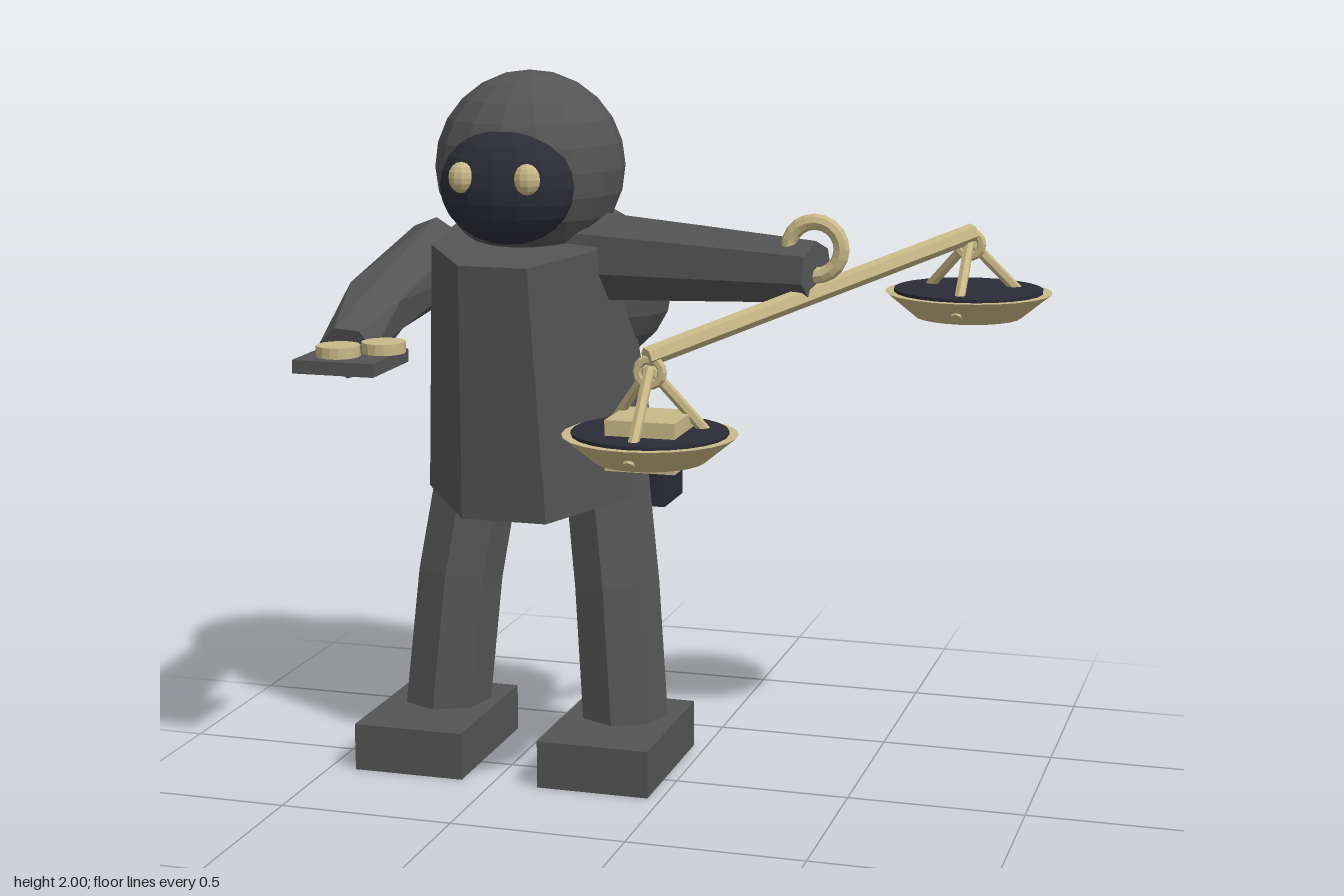
import * as THREE from 'three';

const mat = (name, color) => {
  const m = new THREE.MeshStandardMaterial({ color, flatShading: true });
  m.name = name;
  return m;
};
const V = (x, y, z) => new THREE.Vector3(x, y, z);
const UP = V(0, 1, 0);

export function createModel() {
  const group = new THREE.Group();
  const grey = mat('charcoal', 0x545454);
  const dark = mat('midnight', 0x2c2c38);
  const gold = mat('brass', 0xc9b987);

  const add = (name, geo, material, x = 0, y = 0, z = 0, parent = group) => {
    const m = new THREE.Mesh(geo, material);
    m.name = name;
    m.position.set(x, y, z);
    parent.add(m);
    return m;
  };
  const box = (w, h, d) => new THREE.BoxGeometry(w, h, d);
  const ball = (rx, ry, rz, w = 16, h = 12) => new THREE.SphereGeometry(1, w, h).scale(rx, ry, rz);

  // Straight bar between two points
  const rod = (name, a, b, r, material, sides = 6) => {
    const m = add(name, new THREE.CylinderGeometry(r, r, a.distanceTo(b), sides), material);
    m.position.copy(a).lerp(b, 0.5);
    m.quaternion.setFromUnitVectors(UP, b.clone().sub(a).normalize());
    return m;
  };

  // Capped, tapered limb bent along three points
  const limb = (name, points, r0, r1) => {
    const curve = new THREE.CatmullRomCurve3(points);
    const geo = new THREE.CylinderGeometry(1, 1, 1, 7, 2);
    const pos = geo.attributes.position;
    const v = V(0, 0, 0), q = new THREE.Quaternion();
    for (let i = 0; i < pos.count; i++) {
      v.fromBufferAttribute(pos, i);
      const t = THREE.MathUtils.clamp(v.y + 0.5, 0, 1);
      v.y = 0;
      q.setFromUnitVectors(UP, curve.getTangent(t));
      v.multiplyScalar(THREE.MathUtils.lerp(r0, r1, t)).applyQuaternion(q).add(curve.getPoint(t));
      pos.setXYZ(i, v.x, v.y, v.z);
    }
    geo.computeVertexNormals();
    return add(name, geo, grey);
  };

  const cx = -0.48; // centre line of the figure

  // Head, face and eyes
  add('head', ball(0.27, 0.27, 0.267), grey, cx, 1.73, -0.17);
  add('face', ball(0.195, 0.163, 0.125), dark, cx, 1.693, 0.028);
  for (const s of [-1, 1]) {
    add(s < 0 ? 'rightEye' : 'leftEye', ball(0.038, 0.043, 0.03, 10, 8), gold, cx + s * 0.095, 1.725, 0.132);
  }

  // Octagonal coat leaning forward, wider at the hem
  const coatGeo = new THREE.CylinderGeometry(0.31, 0.39, 0.73, 8);
  coatGeo.rotateY(Math.PI / 8).scale(0.84, 1, 1);
  add('coat', coatGeo, grey, cx, 1.18, -0.19).rotation.x = 0.187;

  // Sack on the back and pouch at the hip
  add('backSack', ball(0.352, 0.255, 0.245), grey, cx, 1.36, -0.39);
  add('hipPouch', box(0.17, 0.232, 0.187), dark, -0.212, 0.841, -0.403);

  // Legs and block feet
  for (const s of [-1, 1]) {
    const side = s < 0 ? 'right' : 'left';
    limb(side + 'Leg', [
      V(cx + s * 0.278, 0.1, -0.15),
      V(cx + s * 0.242, 0.52, -0.185),
      V(cx + s * 0.185, 0.92, -0.245),
    ], 0.128, 0.125);
    add(side + 'Foot', box(0.327, 0.137, 0.481), grey, cx + s * 0.278, 0.0685, -0.077);
  }

  // Arms
  limb('rightArm', [V(-0.77, 1.46, -0.23), V(-0.875, 1.335, 0.06), V(-0.85, 1.255, 0.31)], 0.12, 0.08);
  limb('leftArm', [V(-0.32, 1.48, -0.17), V(0.05, 1.485, -0.07), V(0.4, 1.49, 0.03)], 0.13, 0.085);

  // Tray with two coins
  add('tray', box(0.233, 0.037, 0.25), grey, -0.81, 1.247, 0.376);
  add('coin', new THREE.CylinderGeometry(0.06, 0.06, 0.03, 16), gold, -0.83, 1.281, 0.413);
  add('coin', new THREE.CylinderGeometry(0.06, 0.06, 0.03, 16), gold, -0.727, 1.284, 0.344);

  // Balance beam hung from a hand ring
  const low = V(0.037, 1.305, 0.407), high = V(0.758, 1.562, -0.345);
  rod('beam', low, high, 0.027, gold);
  add('handRing', new THREE.TorusGeometry(0.073, 0.022, 8, 20), gold, 0.395, 1.553, 0.03);

  // Pans, each on three struts
  for (const [x, y, z, apex] of [[0.043, 1.1, 0.4, 1.275], [0.75, 1.397, -0.34, 1.54]]) {
    add('panRing', new THREE.TorusGeometry(0.034, 0.013, 6, 14), gold, x, apex - 0.01, z);
    add('pan', new THREE.CylinderGeometry(0.233, 0.148, 0.07, 24), gold, x, y - 0.035, z);
    add('panLining', new THREE.CylinderGeometry(0.208, 0.208, 0.009, 24), dark, x, y + 0.0045, z);
    for (let i = 0; i < 3; i++) {
      const a = Math.PI / 2 + i * Math.PI * 2 / 3;
      rod('strut', V(x, apex, z), V(x + Math.cos(a) * 0.19, y - 0.045, z + Math.sin(a) * 0.19), 0.015, gold);
    }
  }

  // Block weighing down the low pan
  add('weight', box(0.19, 0.135, 0.19), gold, 0.043, 1.083, 0.4);

  return group;
}
